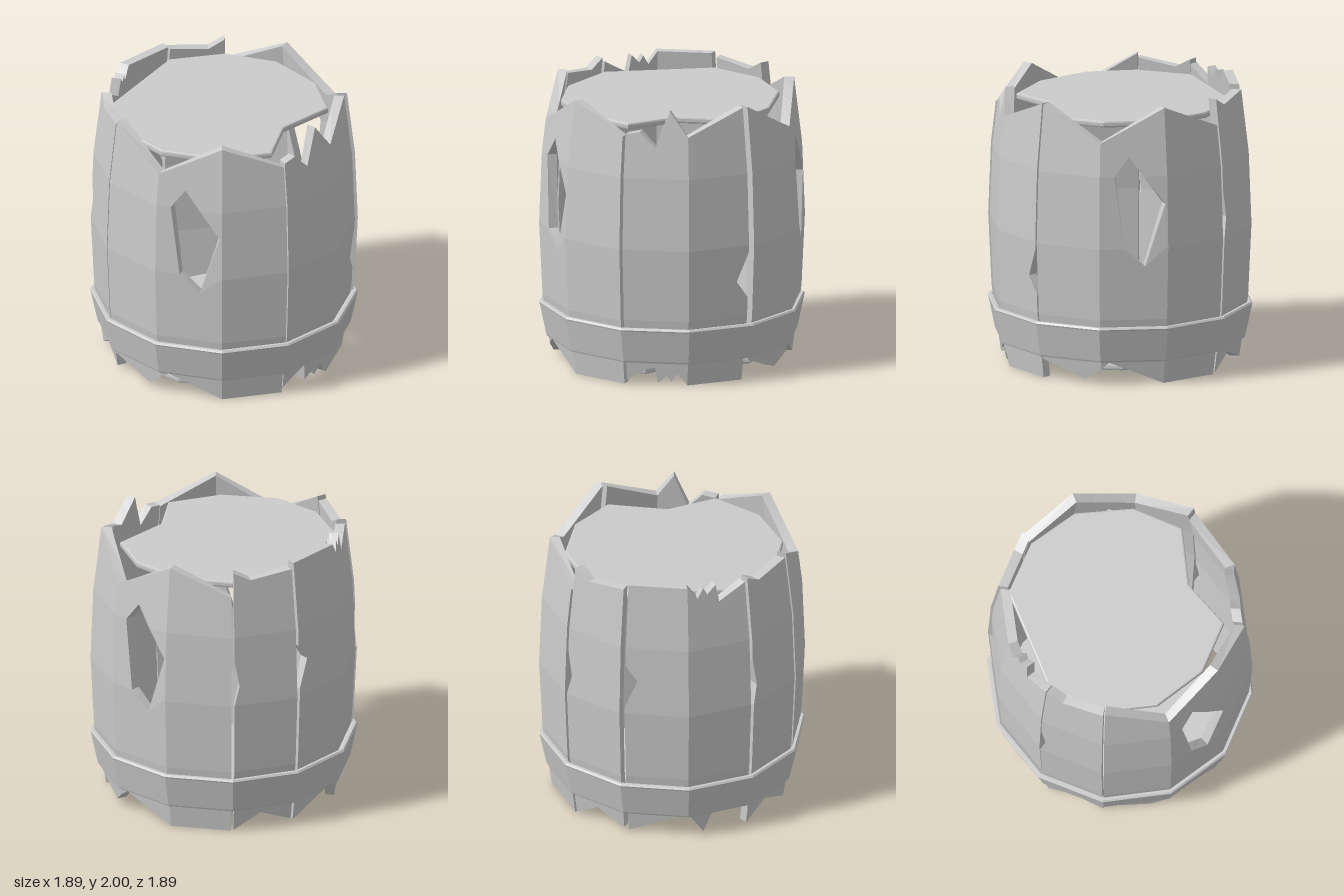
import * as THREE from 'three';

const RAD = Math.PI / 180;
const ROWS = [0, 0.48, 1, 1.52, 2];
const RADII = [0.85, 0.918, 0.942, 0.922, 0.865];
const WALL = 0.07;

// piecewise linear lookup through [x, y] points
function along(points, x) {
  if (x <= points[0][0]) return points[0][1];
  for (let i = 1; i < points.length; i++) {
    const [x0, y0] = points[i - 1], [x1, y1] = points[i];
    if (x <= x1) return y0 + (y1 - y0) * (x - x0) / (x1 - x0);
  }
  return points[points.length - 1][1];
}
const PROFILE = ROWS.map((y, i) => [y, RADII[i]]);

// Broken boards: u is degrees from the left edge, seen from outside.
const WIDE = {
  width: 90, ends: [0.4, 89.3], offset: 0.003,
  top: [[0, 2], [30, 1.76], [60, 2], [90, 1.81]],
  bottom: [[0, 0.15], [22, 0.03], [34, 0.16], [60, 0], [90, 0]],
  holeTop: [[36.5, 1.52], [43, 1.66], [59, 1.32]],
  holeBottom: [[36.5, 1.52], [41, 1], [50, 0.87], [59, 1.32]],
};
const MEDIUM = {
  width: 60, ends: [0.4, 58.5], offset: -0.013,
  top: [[0, 1.83], [7, 1.85], [14.5, 1.74], [21.5, 2], [30, 1.82], [60, 2]],
  bottom: [[0, 0.03], [14, 0.14], [15.5, 0.01], [20, 0.07], [22, 0.02], [25, 0.09], [30, 0], [60, 0]],
  holeTop: [[53, 0.74], [58.5, 0.95]],
  holeBottom: [[53, 0.74], [58.5, 0.62]],
};
const NARROW = {
  width: 30, ends: [0.6, 29.4], offset: 0,
  top: [[0, 2], [9, 1.93], [30, 1.97]],
  bottom: [[0, 0], [14, 0.12], [30, 0.03]],
  holeTop: [[0.6, 1.35], [3, 1.15]],
  holeBottom: [[0.6, 1], [3, 1.15]],
};

function boardGeometry(b, start, flipped) {
  const pos = [];
  // point on the twelve-sided barrel wall
  const point = (u, y, inset) => {
    if (flipped) { u = b.width - u; y = 2 - y; }
    const r = along(PROFILE, y) + b.offset - inset;
    const k = Math.min(Math.floor(u / 30), b.width / 30 - 1), f = u / 30 - k;
    const a0 = (start - 30 * k) * RAD, a1 = a0 - 30 * RAD;
    return [r * (Math.cos(a0) * (1 - f) + Math.cos(a1) * f), y,
      r * (Math.sin(a0) * (1 - f) + Math.sin(a1) * f)];
  };
  const quad = (p, q, r, s) => pos.push(...p, ...q, ...r, ...p, ...r, ...s);

  // columns break at every corner of the outline and at every crease
  const [first, last] = b.ends;
  const cuts = [first, last, 30, 60];
  for (const line of [b.top, b.bottom, b.holeTop, b.holeBottom]) cuts.push(...line.map((p) => p[0]));
  const us = [...new Set(cuts)].filter((u) => u >= first && u <= last).sort((m, n) => m - n);

  for (let i = 0; i < us.length - 1; i++) {
    const u = us[i], v = us[i + 1], mid = (u + v) / 2;
    const holed = mid > b.holeTop[0][0] && mid < b.holeTop[b.holeTop.length - 1][0];
    const spans = holed ? [[b.bottom, b.holeBottom], [b.holeTop, b.top]] : [[b.bottom, b.top]];
    for (const [low, high] of spans) {
      const rowsAt = (x) => {
        const lo = along(low, x), hi = along(high, x);
        return [lo, ...ROWS.slice(1, 4).map((y) => Math.min(hi, Math.max(lo, y))), hi];
      };
      const yu = rowsAt(u), yv = rowsAt(v);
      for (let j = 0; j < 4; j++) {
        const o = [point(u, yu[j], 0), point(v, yv[j], 0), point(v, yv[j + 1], 0), point(u, yu[j + 1], 0)];
        const n = [point(u, yu[j], WALL), point(v, yv[j], WALL), point(v, yv[j + 1], WALL), point(u, yu[j + 1], WALL)];
        quad(...o);
        quad(n[1], n[0], n[3], n[2]);
        if (u === first) quad(n[0], o[0], o[3], n[3]);
        if (v === last) quad(o[1], n[1], n[2], o[2]);
        if (j === 0) quad(n[0], n[1], o[1], o[0]);
        if (j === 3) quad(o[3], o[2], n[2], n[3]);
      }
    }
  }
  const g = new THREE.BufferGeometry();
  g.setAttribute('position', new THREE.Float32BufferAttribute(pos, 3));
  g.computeVertexNormals();
  return g;
}

// broken round end board with a thin bevel, lying flat
function endBoardGeometry() {
  const outline = [[0, -0.78], [0.38, -0.67], [0.64, -0.4], [0.73, 0], [0.63, 0.35], [0.22, 0.45],
    [-0.03, 0.73], [-0.4, 0.63], [-0.69, 0.35], [-0.78, 0], [-0.68, -0.4]];
  const shape = new THREE.Shape(outline.map(([x, z]) => new THREE.Vector2(x, -z)));
  const g = new THREE.ExtrudeGeometry(shape, {
    depth: 0.02, bevelThickness: 0.014, bevelSize: 0.012, bevelSegments: 2,
  });
  return g.rotateX(-Math.PI / 2);
}

export function createModel() {
  const model = new THREE.Group();
  const material = new THREE.MeshStandardMaterial({ color: 0xcccccc, flatShading: true });
  const add = (name, geometry) => {
    const mesh = new THREE.Mesh(geometry, material);
    mesh.name = name;
    model.add(mesh);
    return mesh;
  };

  // boards around the wall: start angle from +x towards +z
  add('frontRightWideBoard', boardGeometry(WIDE, 180, false));
  add('frontLeftBoard', boardGeometry(MEDIUM, 90, false));
  add('leftWideBoard', boardGeometry(WIDE, 30, false));
  add('backLeftNarrowBoard', boardGeometry(NARROW, 300, false));
  add('backRightBoard', boardGeometry(MEDIUM, 270, true));
  add('rightNarrowBoard', boardGeometry(NARROW, 210, false));

  // lower hoop with a small lip at each rim
  const hoop = [[0.85, 0.18], [0.872, 0.165], [0.888, 0.166], [0.893, 0.178], [0.941, 0.405],
    [0.945, 0.415], [0.935, 0.428], [0.915, 0.428], [0.895, 0.415], [0.85, 0.18]];
  add('hoop', new THREE.LatheGeometry(hoop.map(([x, y]) => new THREE.Vector2(x, y)), 12));

  // end boards, slightly tilted
  const lid = add('lid', endBoardGeometry());
  lid.position.y = 1.85;
  lid.rotation.x = 0.015;
  const base = add('base', endBoardGeometry());
  base.position.y = 0.085;
  base.rotation.set(0.03, 10 * RAD, 0);

  return model;
}
